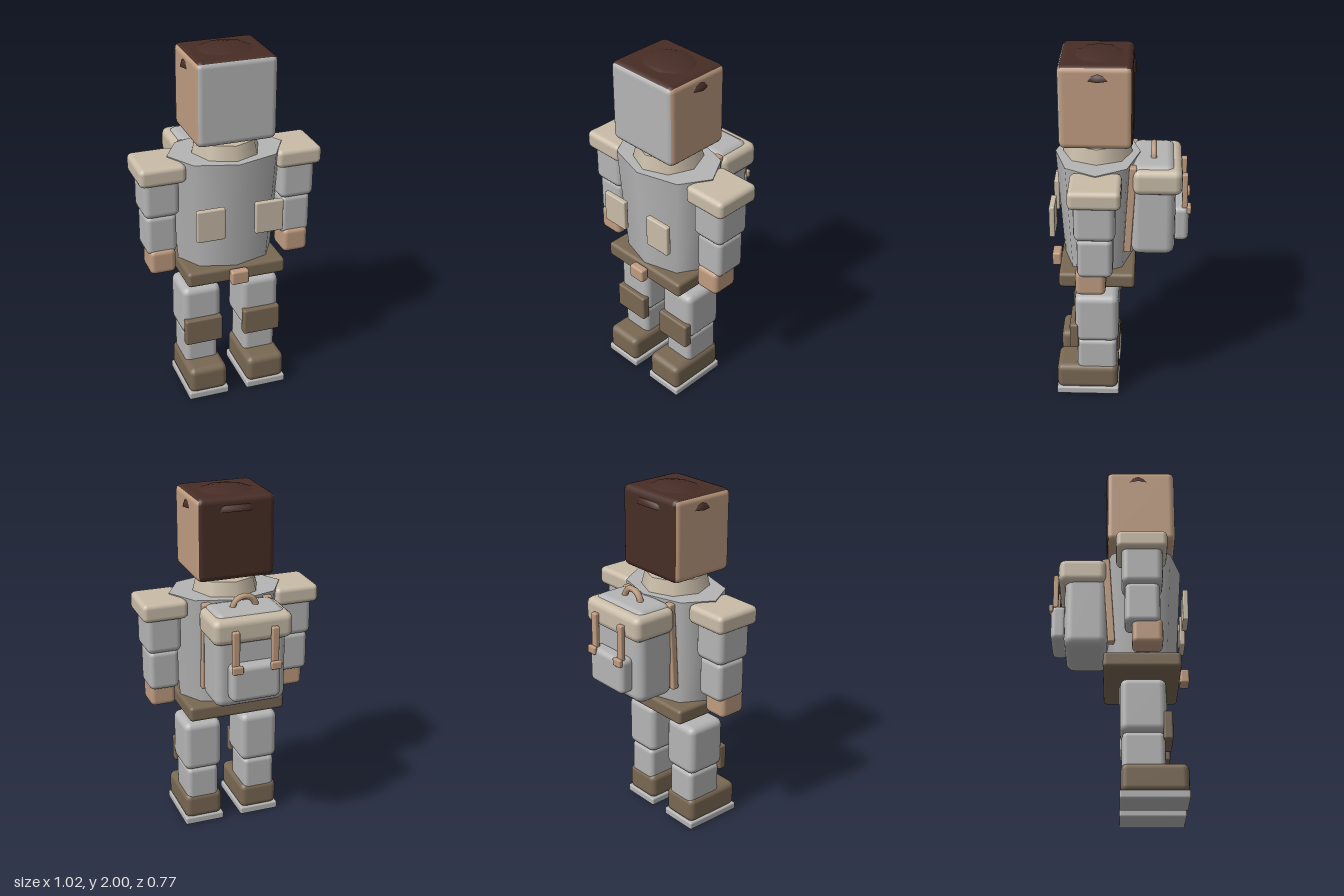
import * as THREE from 'three';
import { RoundedBoxGeometry } from 'three/addons/geometries/RoundedBoxGeometry.js';

const paint = (name, color) => {
  const m = new THREE.MeshStandardMaterial({ color });
  m.name = name;
  return m;
};

export function createModel() {
  const grey = paint('grey cloth', 0xb5b5b5);
  const skin = paint('skin and leather', 0xbf9c80);
  const tan = paint('tan cloth', 0xc9bca8);
  const brown = paint('brown leather', 0x796853);
  const hair = paint('dark hair', 0x472d26);

  const model = new THREE.Group();
  model.name = 'traveller';
  const Z = 0.124; // depth of the body axis

  const add = (name, geometry, material, x, y, z, parent = model) => {
    const mesh = new THREE.Mesh(geometry, material);
    mesh.name = name;
    mesh.position.set(x, y, z);
    parent.add(mesh);
    return mesh;
  };
  // Rounded box given by its [min, max] range on each axis
  const box = (name, material, [x0, x1], [y0, y1], [z0, z1], r, parent) =>
    add(name, new RoundedBoxGeometry(x1 - x0, y1 - y0, z1 - z0, 2, r), material,
      (x0 + x1) / 2, (y0 + y1) / 2, (z0 + z1) / 2, parent);
  // The same box on both sides of the body
  const pair = (name, material, [x0, x1], y, z, r, parent) => {
    box(name + 'Left', material, [x0, x1], y, z, r, parent);
    box(name + 'Right', material, [-x1, -x0], y, z, r, parent);
  };

  // Head: skin sides, hair on top and back, plain face in front
  box('head', [skin, skin, hair, skin, grey, hair], [-0.22, 0.22], [1.52, 1.977], [-0.07, 0.32], 0.035);
  const dome = add('hairCrown', new THREE.SphereGeometry(1, 10, 6, 0, Math.PI * 2, 0, Math.PI / 2), hair, 0, 1.9, 0.112);
  dome.scale.set(0.24, 0.1, 0.205);
  add('neck', new THREE.CylinderGeometry(0.108, 0.108, 0.14, 8), skin, 0, 1.48, Z);
  add('collar', new THREE.CylinderGeometry(0.17, 0.19, 0.085, 8), tan, 0, 1.457, Z);

  // Coat, belt and pockets
  const torso = add('torso', new THREE.CylinderGeometry(0.325, 0.268, 0.66, 8), grey, 0, 1.09, Z);
  torso.scale.z = 0.71;
  box('belt', brown, [-0.28, 0.28], [0.717, 0.805], [-0.085, 0.333], 0.02);
  box('buckle', skin, [-0.05, 0.05], [0.722, 0.802], [0.337, 0.387], 0.012);
  pair('chestPocket', tan, [0.085, 0.242], [1.012, 1.193], [0.348, 0.379], 0.008);

  // Arms
  pair('shoulderPad', tan, [0.255, 0.51], [1.31, 1.414], [-0.015, 0.26], 0.028);
  pair('upperArm', grey, [0.285, 0.483], [1.112, 1.36], [0.015, 0.233], 0.035);
  pair('forearm', grey, [0.3, 0.47], [0.89, 1.12], [0.03, 0.217], 0.03);
  pair('hand', skin, [0.312, 0.458], [0.775, 0.918], [0.068, 0.23], 0.028);

  // Legs
  pair('thigh', grey, [0.06, 0.283], [0.355, 0.655], [0.005, 0.25], 0.04);
  pair('shin', grey, [0.08, 0.268], [0.15, 0.362], [0.015, 0.24], 0.03);
  pair('kneePad', brown, [0.064, 0.28], [0.315, 0.47], [0.23, 0.28], 0.012);
  pair('boot', brown, [0.06, 0.283], [0.035, 0.19], [0.008, 0.358], 0.035);
  pair('sole', grey, [0.054, 0.288], [0, 0.045], [0.003, 0.36], 0.01);

  // Backpack
  const pack = new THREE.Group();
  pack.name = 'backpack';
  model.add(pack);
  box('packBody', grey, [-0.202, 0.202], [0.88, 1.416], [-0.3, -0.06], 0.05, pack);
  box('packLid', tan, [-0.225, 0.225], [1.255, 1.4], [-0.335, -0.068], 0.04, pack);
  box('packPocket', grey, [-0.14, 0.14], [0.942, 1.147], [-0.376, -0.285], 0.03, pack);
  pair('packStrap', skin, [0.09, 0.13], [1.14, 1.342], [-0.366, -0.336], 0.008, pack);
  pair('packBuckle', skin, [0.078, 0.14], [1.11, 1.155], [-0.387, -0.363], 0.008, pack);
  add('packHandle', new THREE.TorusGeometry(0.067, 0.018, 6, 10, Math.PI), skin, 0, 1.4, -0.18, pack);

  // Straps that follow the slope of the back
  for (const side of [-1, 1]) {
    const strap = add(side > 0 ? 'shoulderStrapLeft' : 'shoulderStrapRight',
      new RoundedBoxGeometry(0.05, 0.51, 0.04, 2, 0.008), skin, side * 0.175, 1.155, -0.056, pack);
    strap.rotation.x = -0.06;
  }
  return model;
}
